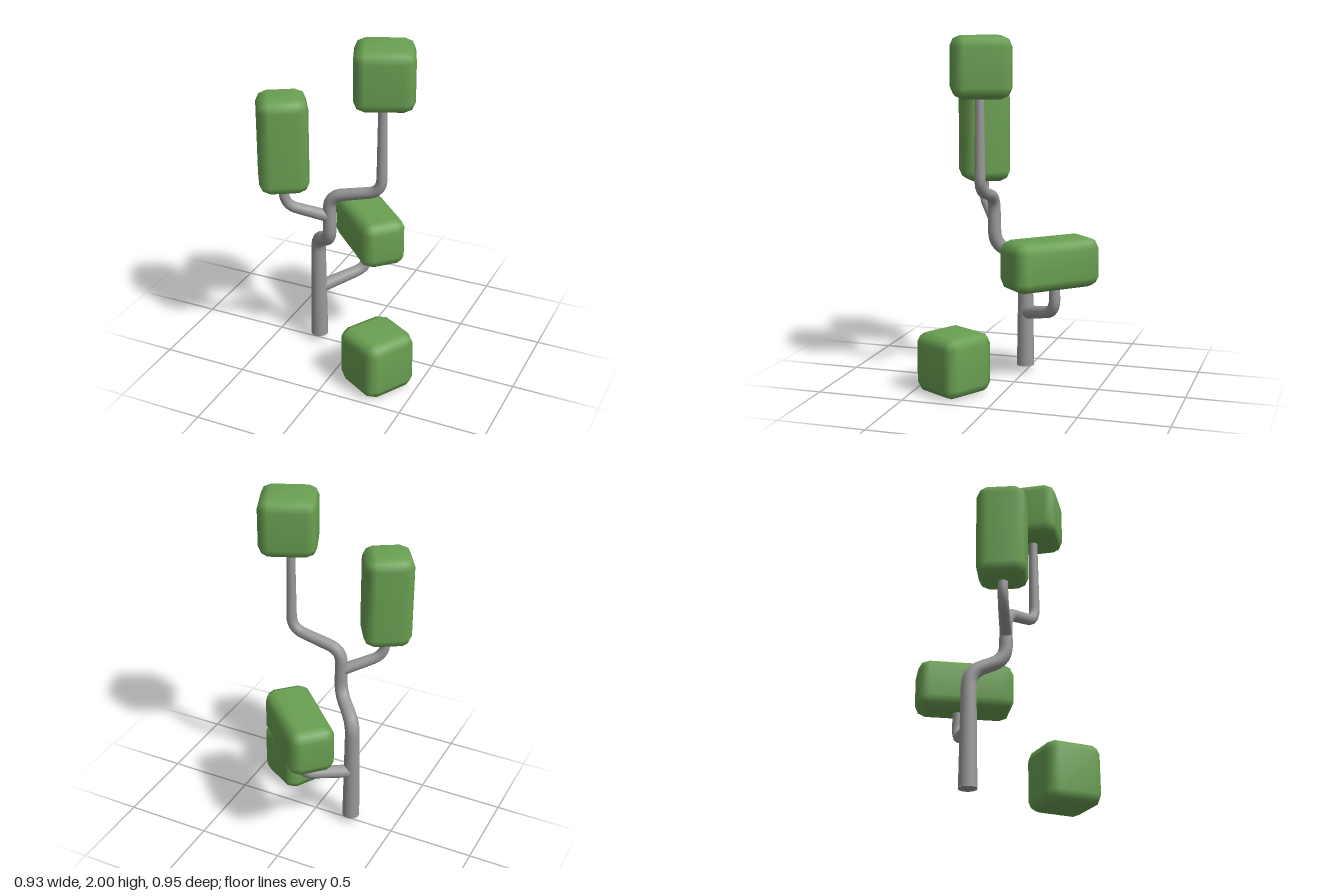
import * as THREE from 'three';
import { mergeVertices } from 'three/addons/utils/BufferGeometryUtils.js';

const bark = new THREE.MeshStandardMaterial({ color: 0xcccccc });
bark.color.set(0x9a9a9a);
const leaf = new THREE.MeshStandardMaterial({ color: 0x6aa052 });

// Straight runs joined by rounded bends
function bentPath(points, bend) {
  const p = points.map((a) => new THREE.Vector3(...a));
  const path = new THREE.CurvePath();
  let from = p[0];
  for (let i = 1; i < p.length - 1; i++) {
    const before = p[i].clone().add(p[i - 1].clone().sub(p[i]).setLength(bend));
    const after = p[i].clone().add(p[i + 1].clone().sub(p[i]).setLength(bend));
    path.add(new THREE.LineCurve3(from, before));
    path.add(new THREE.QuadraticBezierCurve3(before, p[i], after));
    from = after;
  }
  path.add(new THREE.LineCurve3(from, p[p.length - 1]));
  return path;
}

// Tube whose rings shrink from r0 to r1 along its length
function limb(name, points, r0, r1, bend = 0.08) {
  const path = bentPath(points, bend);
  const steps = 70, sides = 14;
  const geo = new THREE.TubeGeometry(path, steps, r0, sides, false);
  const pos = geo.attributes.position;
  const v = new THREE.Vector3();
  for (let i = 0; i <= steps; i++) {
    const centre = path.getPointAt(i / steps);
    const scale = THREE.MathUtils.lerp(1, r1 / r0, i / steps);
    for (let j = 0; j <= sides; j++) {
      const k = i * (sides + 1) + j;
      v.fromBufferAttribute(pos, k).sub(centre).multiplyScalar(scale).add(centre);
      pos.setXYZ(k, v.x, v.y, v.z);
    }
  }
  const mesh = new THREE.Mesh(geo, bark);
  mesh.name = name;
  return mesh;
}

// Box with softened edges: edge and corner vertices are pulled inwards
function foliage(name, centre, half, turn) {
  const bevel = 0.06, pull = [0, 0, 0.018, 0.028];
  let geo = new THREE.BoxGeometry(2, 2, 2, 3, 3, 3);
  const pos = geo.attributes.position;
  for (let i = 0; i < pos.count; i++) {
    const c = [pos.getX(i), pos.getY(i), pos.getZ(i)];
    const outer = c.map((a) => Math.abs(a) > 0.9);
    const inset = pull[outer.filter(Boolean).length];
    pos.setXYZ(i, ...c.map((a, k) => Math.sign(a) * (half[k] - (outer[k] ? inset : bevel))));
  }
  geo.deleteAttribute('normal');
  geo.deleteAttribute('uv');
  geo = mergeVertices(geo, 1e-4);
  geo.computeVertexNormals();
  const mesh = new THREE.Mesh(geo, leaf);
  mesh.name = name;
  mesh.position.set(...centre);
  mesh.rotation.y = THREE.MathUtils.degToRad(turn);
  return mesh;
}

export function createModel() {
  const tree = new THREE.Group();
  tree.name = 'tree';

  // Trunk, bending twice on its way to the top clump
  tree.add(limb('trunk', [
    [-0.235, 0.04, 0], [-0.235, 0.70, 0], [-0.09, 0.79, 0.145],
    [-0.09, 1.07, 0.148], [0.222, 1.15, 0.13], [0.222, 1.7, 0.13],
  ], 0.052, 0.024));
  const base = new THREE.Mesh(new THREE.CircleGeometry(0.052, 14), bark);
  base.name = 'trunkBase';
  base.rotation.x = Math.PI / 2;
  base.position.set(-0.235, 0.04, 0);
  tree.add(base);

  // Side branches
  tree.add(limb('upperBranch', [
    [-0.09, 0.94, 0.147], [-0.305, 1.03, 0.28], [-0.305, 1.18, 0.28],
  ], 0.035, 0.027));
  tree.add(limb('lowerBranch', [
    [-0.235, 0.36, 0], [-0.022, 0.43, -0.235], [-0.022, 0.62, -0.235],
  ], 0.04, 0.03));

  // Foliage clumps, the last resting on the ground
  tree.add(foliage('topFoliage', [0.227, 1.83, 0.122], [0.163, 0.17, 0.163], 23));
  tree.add(foliage('tallFoliage', [-0.305, 1.413, 0.278], [0.138, 0.275, 0.138], 31));
  tree.add(foliage('longFoliage', [0, 0.718, -0.21], [0.272, 0.142, 0.134], -45));
  tree.add(foliage('groundFoliage', [0.265, 0.174, 0.277], [0.163, 0.174, 0.163], -30));

  return tree;
}
